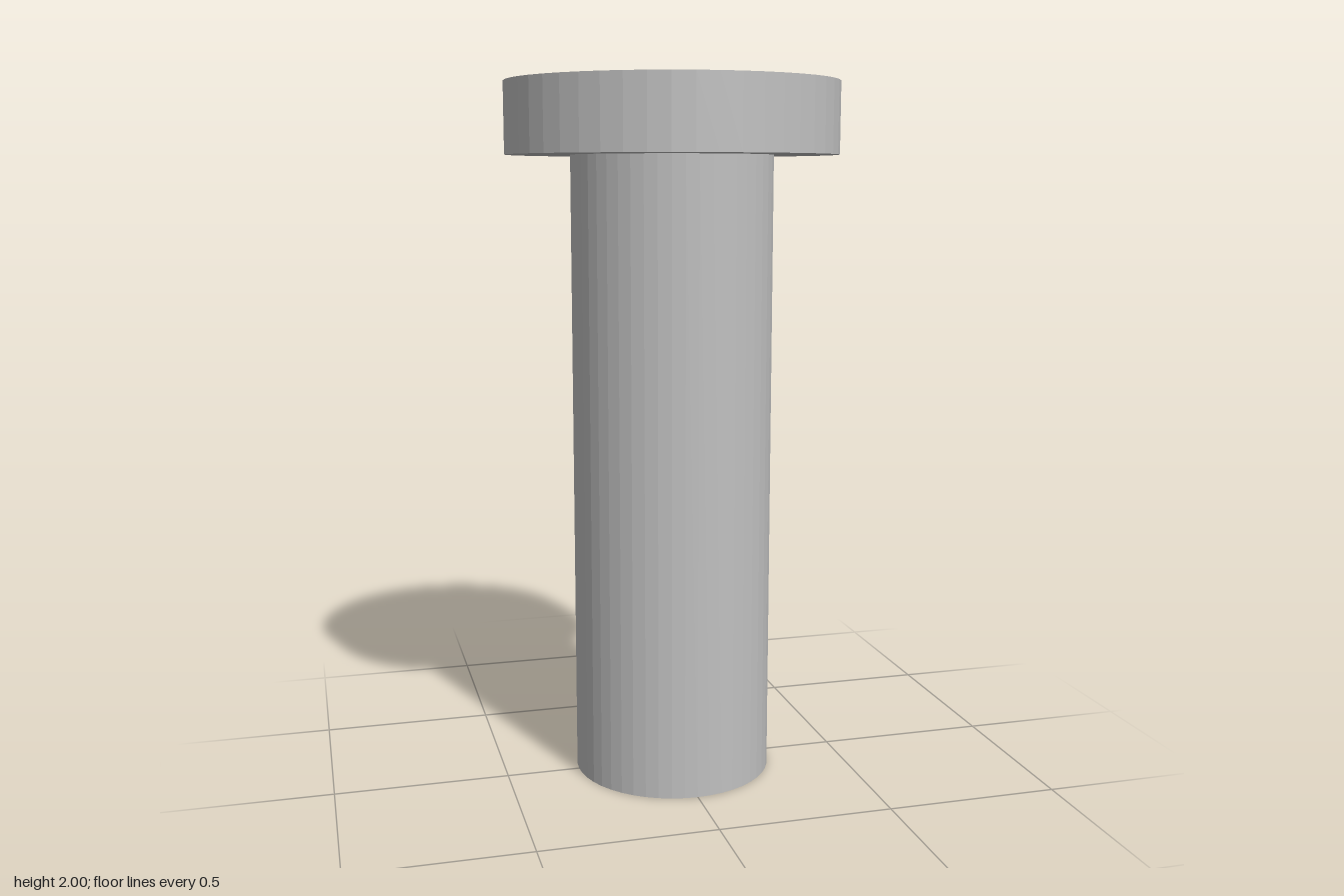
import * as THREE from 'three';

const SIDES = 48;
const HEAD_R = 0.47, SHAFT_R = 0.287, BORE_R = 0.225, HEX_R = 0.168;
const TOP = 2, HEAD_BASE = 1.8, BORE_TOP = 1.55;

export function createModel() {
  const group = new THREE.Group();
  const steel = new THREE.MeshStandardMaterial({ color: 0xc0c0c0 });
  steel.name = 'steel grey';

  const add = (name, geometry) => {
    const mesh = new THREE.Mesh(geometry, steel);
    mesh.name = name;
    group.add(mesh);
  };

  // Round flat head with a hexagonal socket
  const disc = new THREE.Shape().absarc(0, 0, HEAD_R, 0, Math.PI * 2, false);
  const corners = [];
  for (let i = 0; i < 6; i++) {
    const a = Math.PI / 2 - (i * Math.PI) / 3;
    corners.push(new THREE.Vector2(HEX_R * Math.cos(a), HEX_R * Math.sin(a)));
  }
  disc.holes.push(new THREE.Path(corners));
  const head = new THREE.ExtrudeGeometry(disc, {
    depth: TOP - HEAD_BASE, bevelEnabled: false, curveSegments: SIDES / 2,
  });
  head.rotateX(-Math.PI / 2);
  head.translate(0, HEAD_BASE, 0);
  add('head', head);

  // Hollow shaft: blind bore from below, closed top forms the socket floor
  const profile = [
    [0, BORE_TOP], [BORE_R, BORE_TOP], [BORE_R, 0],
    [SHAFT_R, 0], [SHAFT_R, HEAD_BASE], [0, HEAD_BASE],
  ].map(([r, y]) => new THREE.Vector2(r, y));
  const shaft = new THREE.LatheGeometry(profile, SIDES).toNonIndexed();
  shaft.computeVertexNormals();
  add('shaft', shaft);

  return group;
}
